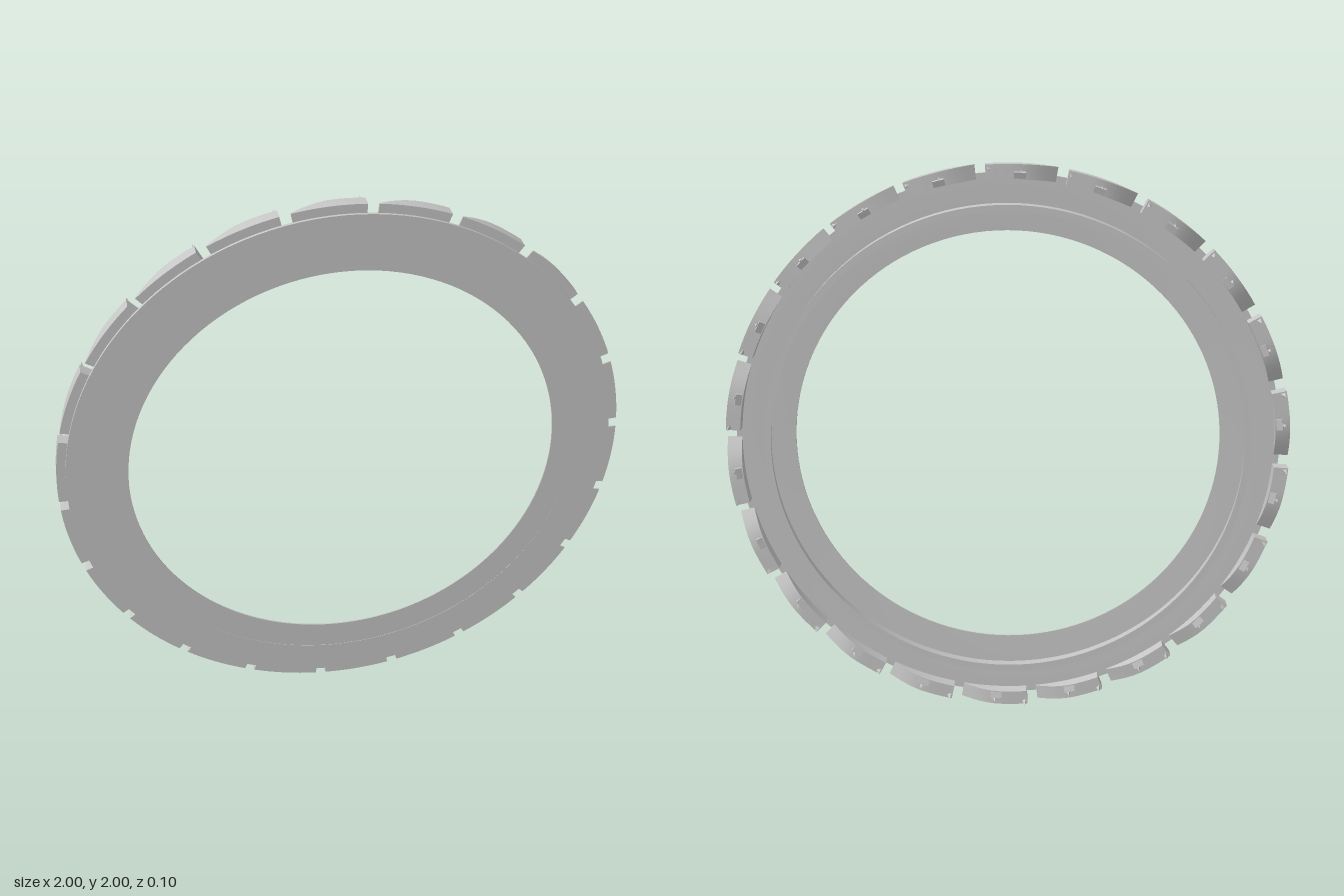
import * as THREE from 'three';
import { toCreasedNormals } from 'three/addons/utils/BufferGeometryUtils.js';

const CY = 1.0;          // wheel centre height
const TEETH = 22;
const PITCH = (Math.PI * 2) / TEETH;
const FIRST_GAP = THREE.MathUtils.degToRad(84.6);
const SPAN = PITCH * 0.87;

// Back edge of a tooth: sweeps from the front to the back along its length
const backEdge = t => 0.034 - 0.041 * Math.sin(Math.min(1, t / 0.6) * Math.PI / 2);

// Flat-faced solid swept through four-cornered sections along the rim
function toothGeometry() {
  const steps = 8, pos = [], idx = [];
  for (let i = 0; i <= steps; i++) {
    const t = i / steps, a = -t * SPAN, zb = backEdge(t);
    for (const [r, z] of [[0.947, 0.04], [0.998, 0.04], [0.998, zb], [0.947, zb]]) {
      pos.push(r * Math.cos(a), r * Math.sin(a), z);
    }
  }
  for (let i = 0; i < steps; i++) {
    for (let j = 0; j < 4; j++) {
      const a = i * 4 + j, b = i * 4 + (j + 1) % 4;
      idx.push(a, a + 4, b, b, a + 4, b + 4);
    }
  }
  const e = steps * 4;
  idx.push(0, 1, 2, 0, 2, 3, e, e + 2, e + 1, e, e + 3, e + 2);
  const g = new THREE.BufferGeometry();
  g.setAttribute('position', new THREE.Float32BufferAttribute(pos, 3));
  g.setIndex(idx);
  return toCreasedNormals(g, 0.35);
}

// Closed [radius, z] outline turned around the wheel axis
function turned(outline) {
  const g = new THREE.LatheGeometry(outline.map(p => new THREE.Vector2(...p)), 128);
  g.rotateX(Math.PI / 2);
  return toCreasedNormals(g, 0.4);
}

// Thin flat plate whose opening sits slightly above the wheel centre
function plateGeometry() {
  const g = turned([[0.967, 0.039], [0.967, 0.05], [0.755, 0.05], [0.755, 0.045], [0.9, 0.039], [0.967, 0.039]]);
  const p = g.attributes.position;
  for (let i = 0; i < p.count; i++) {
    if (Math.hypot(p.getX(i), p.getY(i)) < 0.8) p.setY(i, p.getY(i) + 0.013);
  }
  return g;
}

export function createModel() {
  const grey = new THREE.MeshStandardMaterial({ color: 0xc6c6c6 });
  grey.name = 'grey';

  const model = new THREE.Group();
  model.name = 'toothedRing';
  const wheel = new THREE.Group();
  wheel.name = 'wheel';
  wheel.position.y = CY;
  model.add(wheel);

  const add = (parent, name, geometry) => {
    const m = new THREE.Mesh(geometry, grey);
    m.name = name;
    parent.add(m);
    return m;
  };

  add(wheel, 'plate', plateGeometry());

  // Upright collar on the back, tilted so its lower half just breaks the front face
  const collar = add(wheel, 'backCollar', turned([
    [0.862, -0.007], [0.862, 0.0495], [0.846, 0.0495], [0.838, -0.007], [0.862, -0.007],
  ]));
  collar.rotation.x = -0.002;

  const tooth = toothGeometry();
  const spike = new THREE.ConeGeometry(0.011, 0.052, 3).toNonIndexed();
  spike.rotateX(-Math.PI / 2);
  spike.computeVertexNormals();
  const lug = new THREE.BoxGeometry(0.022, 0.04, 0.012);

  // Teeth run clockwise, each with a tip spike, a middle spike and a lug
  for (let i = 0; i < TEETH; i++) {
    const g = new THREE.Group();
    g.name = 'tooth' + (i + 1);
    g.rotation.z = FIRST_GAP - i * PITCH - PITCH * 0.065;
    add(g, 'toothBody', tooth);

    const place = (mesh, r, t, z) => {
      mesh.position.set(r * Math.cos(-t * SPAN), r * Math.sin(-t * SPAN), z);
      mesh.rotation.z = -t * SPAN;
      return mesh;
    };
    place(add(g, 'tipSpike', spike), 0.985, 0.96, -0.024);
    place(add(g, 'middleSpike', spike), 0.975, 0.5, -0.018).scale.setScalar(0.8);
    place(add(g, 'backLug', lug), 0.962, 0.52, -0.006).rotation.y = 0.3;
    wheel.add(g);
  }
  return model;
}
